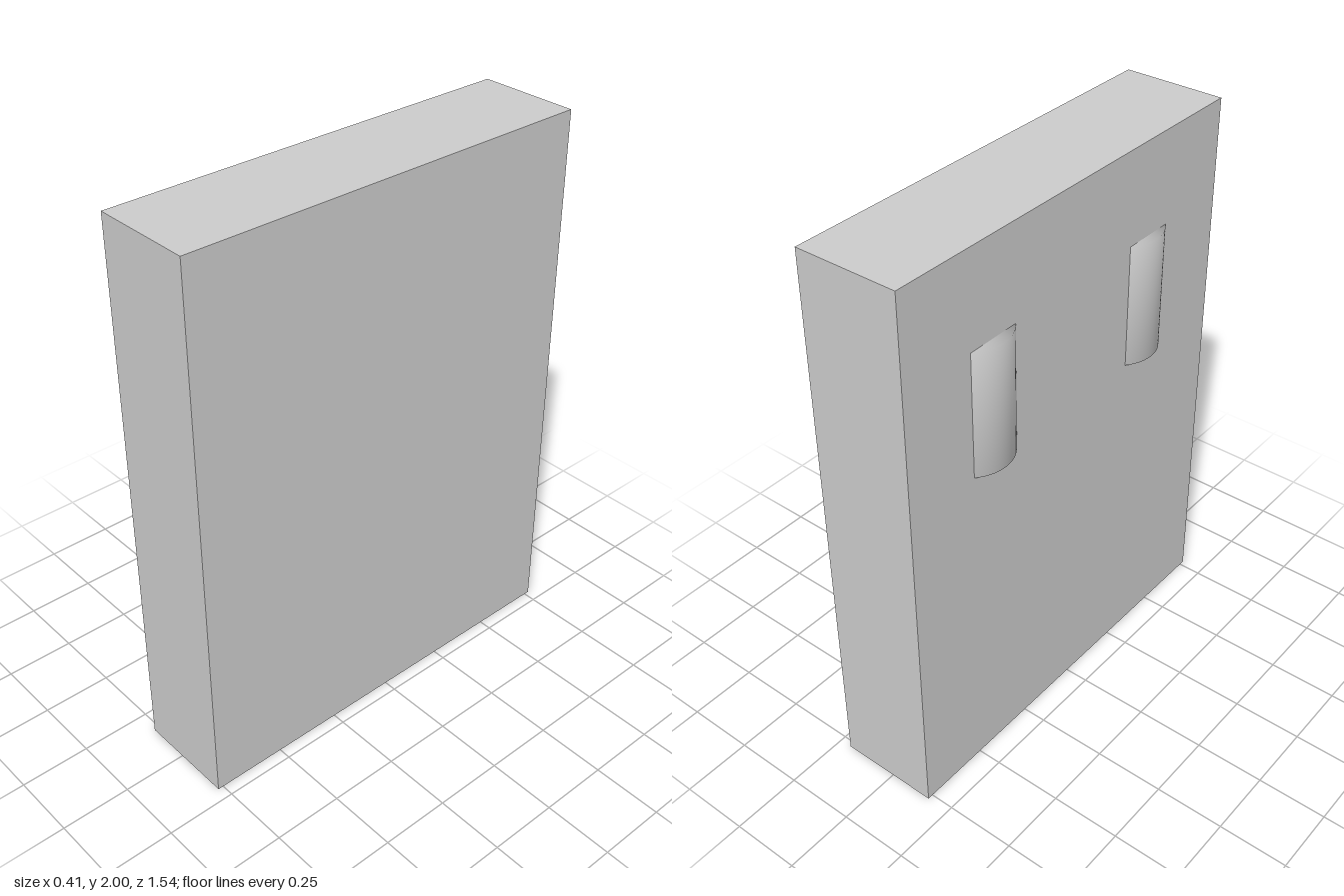
import * as THREE from 'three';
import { mergeVertices } from 'three/addons/utils/BufferGeometryUtils.js';

const grey = new THREE.MeshStandardMaterial({ color: 0xcccccc });

function part(name, geometry, x, y, z) {
  const mesh = new THREE.Mesh(geometry, grey);
  mesh.name = name;
  mesh.position.set(x, y, z);
  return mesh;
}

// Upright rod with its cap edges shaded smoothly into the side
function smoothRod(radius, height) {
  const rod = new THREE.CylinderGeometry(radius, radius, height, 64);
  rod.deleteAttribute('normal');
  rod.deleteAttribute('uv');
  const merged = mergeVertices(rod);
  merged.computeVertexNormals();
  return merged;
}

export function createModel() {
  const group = new THREE.Group();
  group.name = 'panel';

  // Slab standing on edge
  group.add(part('slab', new THREE.BoxGeometry(0.368, 2, 1.54), 0.02, 1, 0));

  // Two vertical grips, mostly sunk into the slab
  const grip = smoothRod(0.148, 0.45);
  group.add(part('backGrip', grip, -0.056, 1.437, -0.385));
  group.add(part('frontGrip', grip, -0.052, 1.437, 0.387));

  return group;
}
